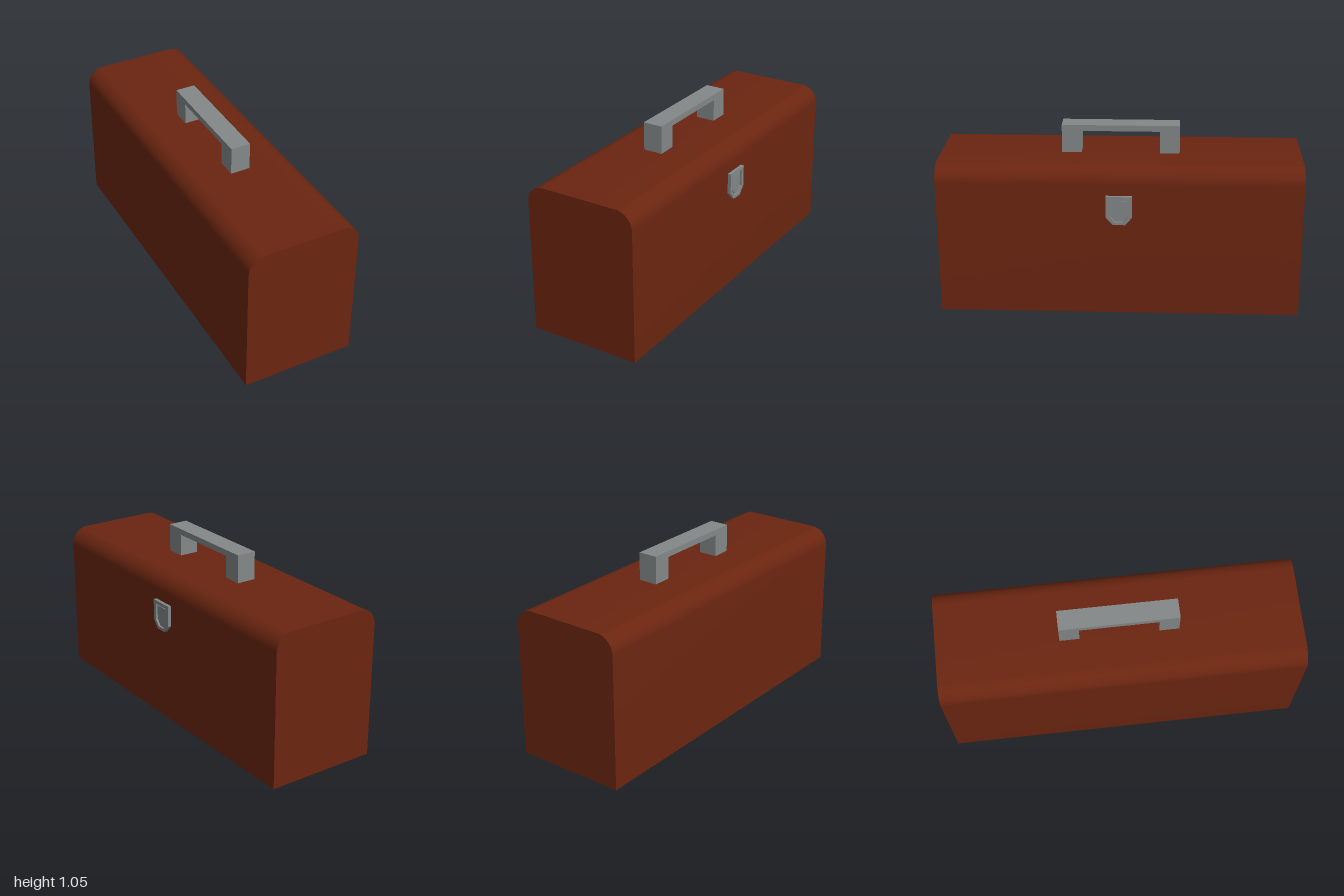
import * as THREE from 'three';
import { toCreasedNormals } from 'three/addons/utils/BufferGeometryUtils.js';

const LENGTH = 2.08, WIDTH = 0.666, HEIGHT = 0.89, RADIUS = 0.1;

function material(name, color) {
  const m = new THREE.MeshStandardMaterial({ color });
  m.name = name;
  return m;
}

function addMesh(parent, name, geometry, mat, x = 0, y = 0, z = 0) {
  const mesh = new THREE.Mesh(geometry, mat);
  mesh.name = name;
  mesh.position.set(x, y, z);
  parent.add(mesh);
  return mesh;
}

// Shield outline with a chamfered lower end
function shieldPoints(halfWidth, top, shoulder, bottom, halfFoot) {
  return [
    [-halfWidth, top], [-halfWidth, shoulder], [-halfFoot, bottom],
    [halfFoot, bottom], [halfWidth, shoulder], [halfWidth, top],
  ].map(([x, y]) => new THREE.Vector2(x, y));
}

export function createModel() {
  const model = new THREE.Group();
  model.name = 'toolbox';
  const brown = material('reddish brown', 0x6b2510);
  const grey = material('metal grey', 0x838889);

  // Case: cross-section with two rounded top edges, extruded lengthwise
  const w = WIDTH / 2;
  const section = new THREE.Shape();
  section.moveTo(-w, 0);
  section.lineTo(w, 0);
  section.lineTo(w, HEIGHT - RADIUS);
  section.absarc(w - RADIUS, HEIGHT - RADIUS, RADIUS, 0, Math.PI / 2, false);
  section.absarc(-w + RADIUS, HEIGHT - RADIUS, RADIUS, Math.PI / 2, Math.PI, false);
  section.closePath();
  const caseGeometry = new THREE.ExtrudeGeometry(section, {
    depth: LENGTH, bevelEnabled: false, curveSegments: 5,
  });
  caseGeometry.translate(0, 0, -LENGTH / 2);
  caseGeometry.rotateY(Math.PI / 2);
  addMesh(model, 'case', toCreasedNormals(caseGeometry, 0.5), brown);

  // Handle: a square arch standing on the lid
  const handle = new THREE.Shape();
  [[-0.34, 0.885], [-0.226, 0.885], [-0.226, 1.02], [0.226, 1.02],
    [0.226, 0.885], [0.34, 0.885], [0.34, 1.055], [-0.34, 1.055]]
    .forEach(([x, y], i) => (i ? handle.lineTo(x, y) : handle.moveTo(x, y)));
  const handleGeometry = new THREE.ExtrudeGeometry(handle, { depth: 0.116, bevelEnabled: false });
  addMesh(model, 'handle', handleGeometry, grey, 0, 0, -0.058);

  // Latch: backing plate, raised rim and a small inner tongue
  const latch = new THREE.Group();
  latch.name = 'latch';
  latch.position.z = -w;
  latch.rotation.y = Math.PI;
  model.add(latch);
  const plate = (points, depth, hole) => {
    const shape = new THREE.Shape(points);
    if (hole) shape.holes.push(new THREE.Path(hole));
    return new THREE.ExtrudeGeometry(shape, { depth, bevelEnabled: false });
  };
  const outer = shieldPoints(0.074, 0.73, 0.605, 0.56, 0.035);
  const opening = shieldPoints(0.052, 0.71, 0.612, 0.577, 0.024);
  const tongue = shieldPoints(0.042, 0.7, 0.618, 0.586, 0.019);
  addMesh(latch, 'latchRim', plate(outer, 0.022, opening), grey, 0, 0, -0.002);
  addMesh(latch, 'latchBase', plate(opening, 0.008), grey);
  addMesh(latch, 'latchTongue', plate(tongue, 0.005), grey, 0, 0, 0.008);

  // The whole box stands turned about the vertical axis
  model.rotation.y = -0.7277;
  const root = new THREE.Group();
  root.name = 'toolboxRoot';
  root.add(model);
  return root;
}
